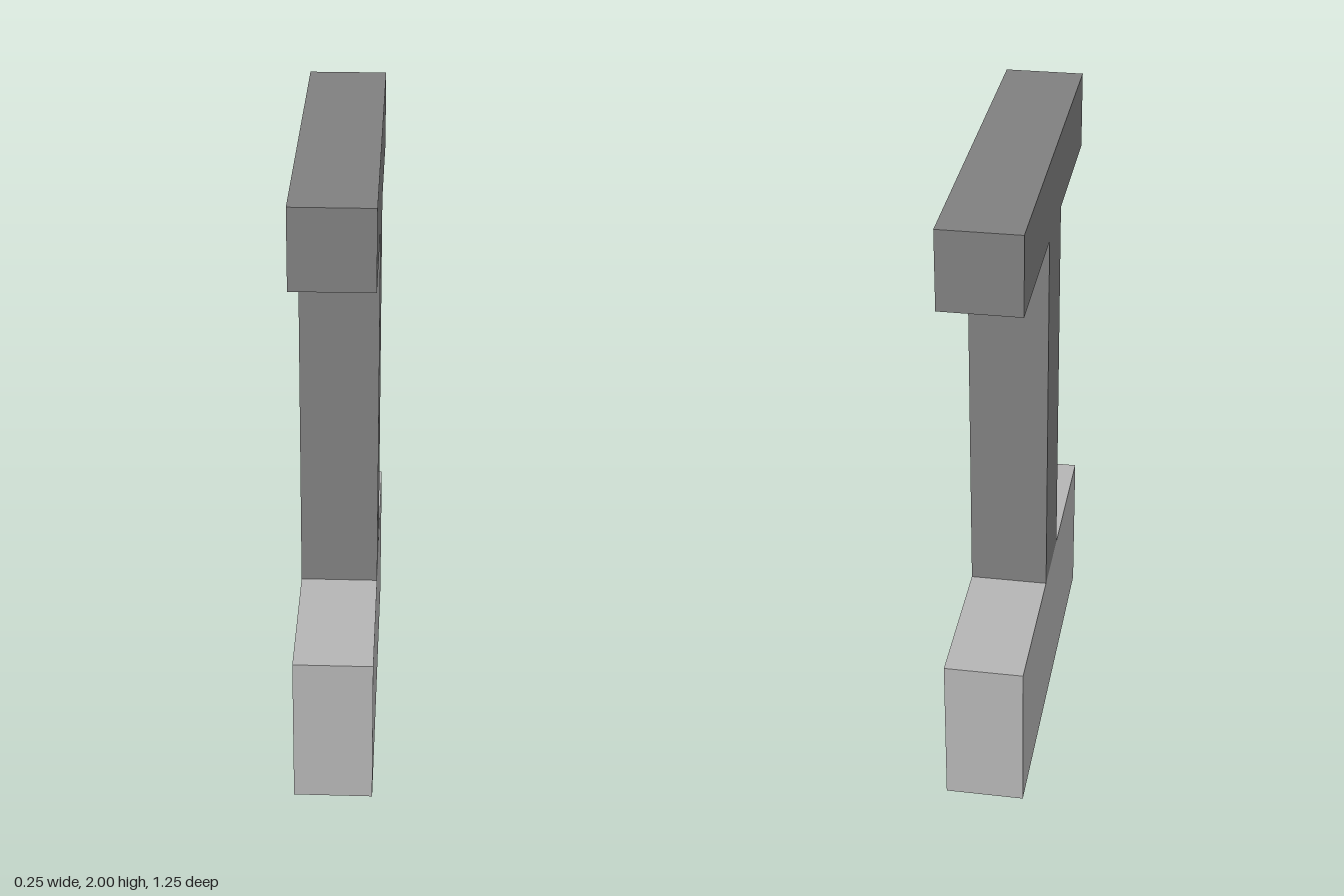
import * as THREE from 'three';

const WIDTH = 0.25;

export function createModel() {
  const group = new THREE.Group();
  const darkGrey = new THREE.MeshStandardMaterial({ name: 'darkGrey', color: 0x808080 });
  const lightGrey = new THREE.MeshStandardMaterial({ name: 'lightGrey', color: 0xb5b5b5 });

  // T-shaped handle: upright stem and crossbar in one piece
  const profile = new THREE.Shape([
    [-0.125, 0.5], [0.125, 0.5], [0.125, 1.75], [0.625, 1.75],
    [0.625, 2], [-0.625, 2], [-0.625, 1.75], [-0.125, 1.75],
  ].map(([x, y]) => new THREE.Vector2(x, y)));
  const handleGeometry = new THREE.ExtrudeGeometry(profile, { depth: WIDTH, bevelEnabled: false });
  handleGeometry.translate(0, 0, -WIDTH / 2).rotateY(Math.PI / 2);
  const handle = new THREE.Mesh(handleGeometry, darkGrey);
  handle.name = 'handle';

  // Block at the foot
  const base = new THREE.Mesh(new THREE.BoxGeometry(WIDTH, 0.5, 1.25), lightGrey);
  base.name = 'base';
  base.position.y = 0.25;

  group.add(handle, base);
  return group;
}
